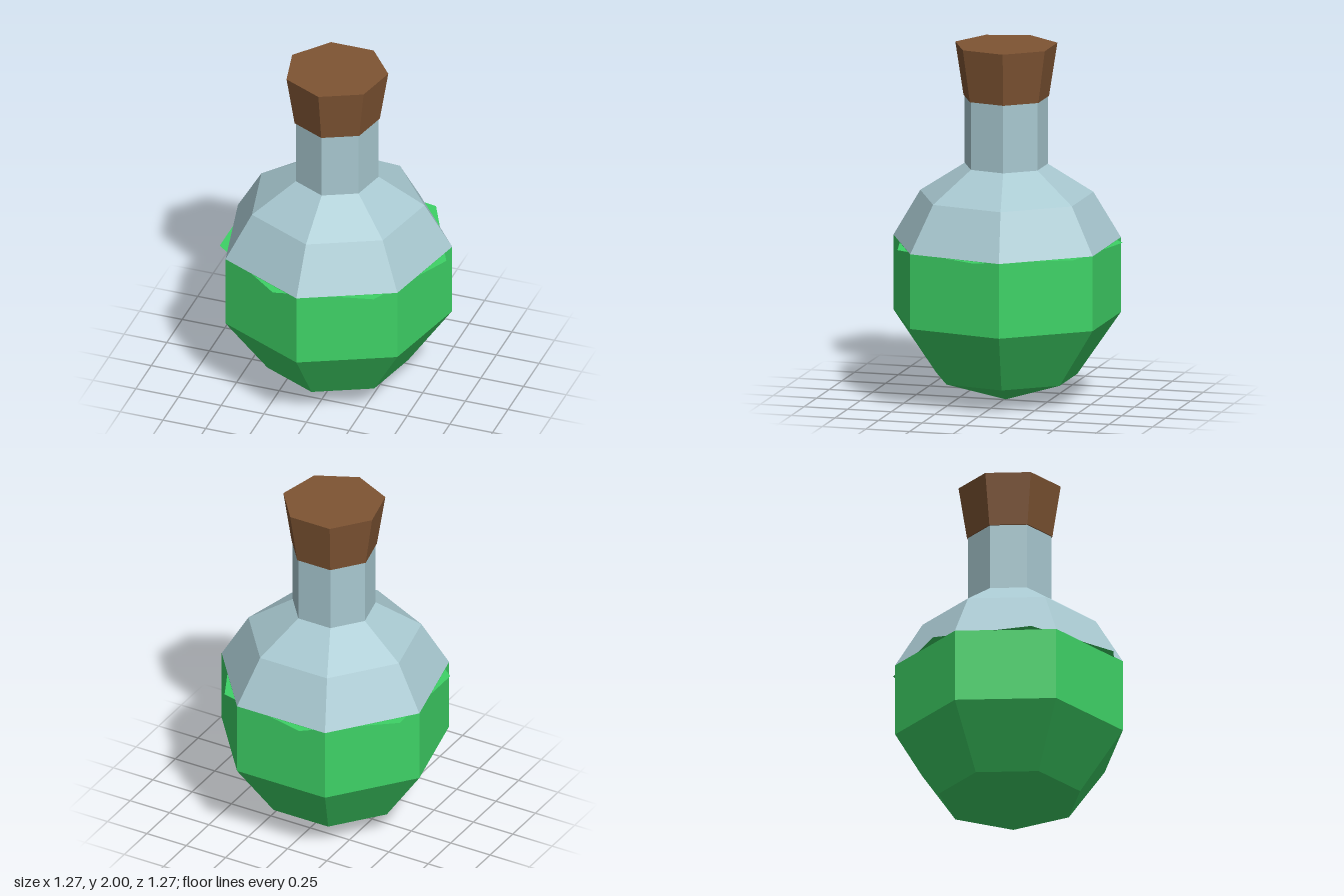
import * as THREE from 'three';

const SIDES = 7;

function flat(name, color) {
  const material = new THREE.MeshStandardMaterial({ color, flatShading: true, side: THREE.DoubleSide });
  material.name = name;
  return material;
}

export function createModel() {
  const model = new THREE.Group();
  model.name = 'potionBottle';

  const glass = flat('paleGlass', 0xa8c8d0);
  const liquid = flat('greenLiquid', 0x3ed266);
  const cork = flat('brownCork', 0x7e5433);

  const body = new THREE.Group();
  body.name = 'bottle';
  body.position.set(-0.01, 0, -0.009);
  model.add(body);

  const add = (name, geometry, material, y = 0) => {
    const mesh = new THREE.Mesh(geometry, material);
    mesh.name = name;
    mesh.position.y = y;
    body.add(mesh);
  };

  // Seven-sided shell from [radius, height] pairs, listed bottom to top
  const shell = (profile) =>
    new THREE.LatheGeometry(profile.map(([r, y]) => new THREE.Vector2(r, y)), SIDES);

  // Filled lower bowl, coming to a point at the base
  add('liquidBowl', shell([[0, 0.005], [0.4, 0.135], [0.644, 0.475], [0.644, 0.895]]), liquid);

  // Liquid surface, turned so that its corners poke past the bowl
  add('liquidSurface', new THREE.CircleGeometry(0.645, SIDES).rotateX(-Math.PI / 2), liquid, 0.893);

  // Empty glass shoulder and neck
  add('glassShoulder', shell([[0.644, 0.895], [0.49, 1.155], [0.235, 1.322]]), glass);
  add('glassNeck', shell([[0.235, 1.322], [0.235, 1.705]]), glass);

  // Tapered stopper
  add('corkStopper', new THREE.CylinderGeometry(0.289, 0.242, 0.297, SIDES), cork, 1.8515);

  return model;
}
